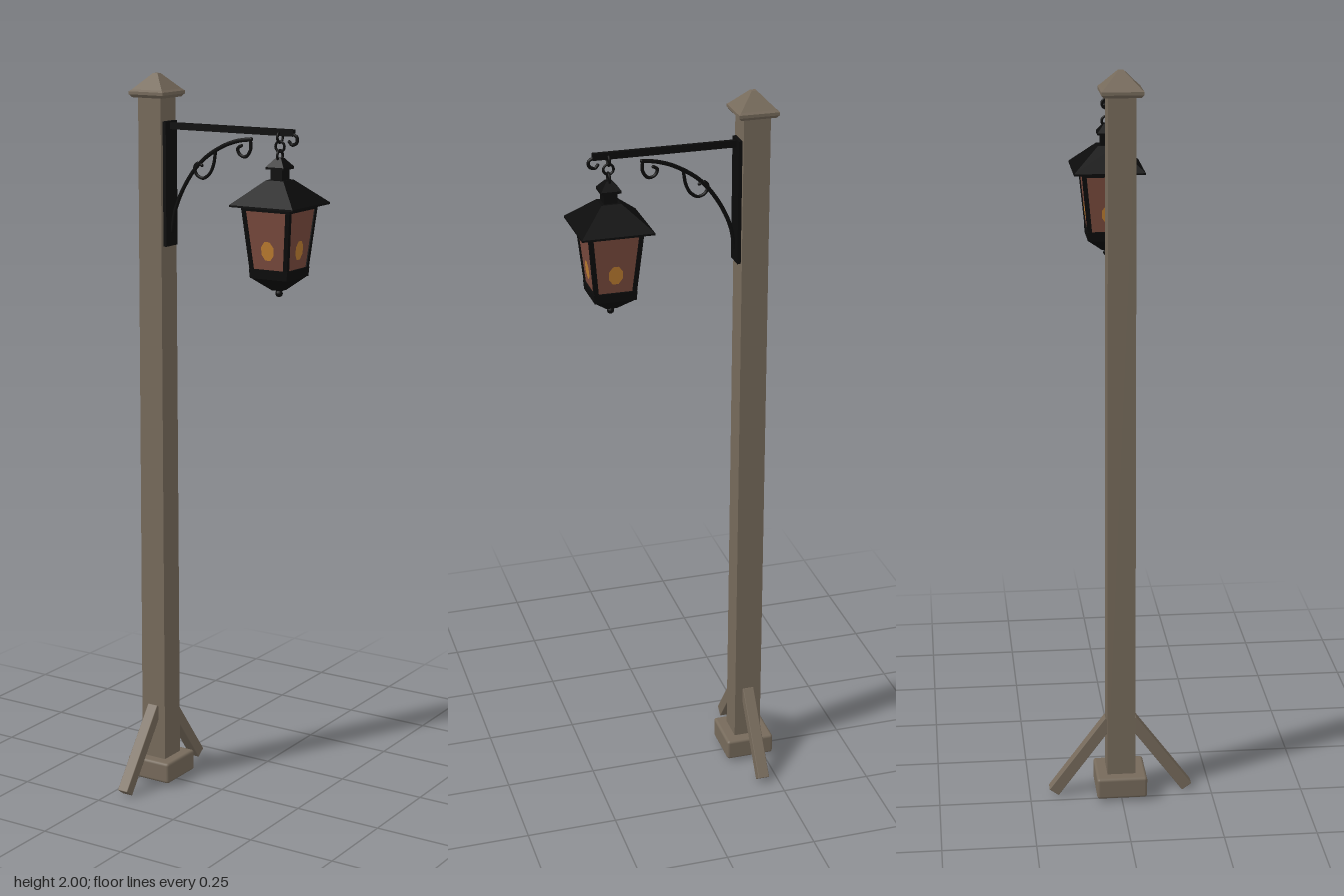
import * as THREE from 'three';
import { RoundedBoxGeometry } from 'three/addons/geometries/RoundedBoxGeometry.js';

const material = (name, color) => Object.assign(new THREE.MeshStandardMaterial({ color }), { name });

export function createModel() {
  const wood = material('weathered wood', 0x766a5b);
  const iron = material('black iron', 0x0b0b0b);
  const glass = material('amber glass', 0x794a3d);
  const glow = material('flame glow', 0xbd7d30);
  const model = new THREE.Group();
  model.name = 'lampPost';
  const POST_X = -0.206, LAMP_X = 0.178;

  const add = (parent, name, geo, mat, x = 0, y = 0, z = 0) => {
    const mesh = new THREE.Mesh(geo, mat);
    mesh.name = name;
    mesh.position.set(x, y, z);
    parent.add(mesh);
    return mesh;
  };
  // Square frustum with crisp edges: half widths at bottom and top, from y0 to y1
  const frustum = (bottom, top, y0, y1) => {
    const geo = new THREE.CylinderGeometry(top * Math.SQRT2, bottom * Math.SQRT2, y1 - y0, 4)
      .rotateY(Math.PI / 4).translate(0, (y0 + y1) / 2, 0).toNonIndexed();
    geo.computeVertexNormals();
    return geo;
  };
  const rod = (parent, name, points, radius) => {
    const curve = new THREE.CatmullRomCurve3(points.map(([x, y]) => new THREE.Vector3(x, y, 0)));
    const mesh = add(parent, name, new THREE.TubeGeometry(curve, 32, radius, 8), iron);
    // Rounded tips close the tube
    for (const p of [points[0], points[points.length - 1]])
      add(parent, name + 'Tip', new THREE.SphereGeometry(radius, 8, 6), iron, p[0], p[1]);
    return mesh;
  };

  // Wooden post, foot block and cap
  const post = new THREE.Group();
  post.name = 'post';
  post.position.x = POST_X;
  model.add(post);
  add(post, 'shaft', frustum(0.0385, 0.036, 0.03, 1.945), wood);
  add(post, 'footBlock', new RoundedBoxGeometry(0.138, 0.06, 0.138, 2, 0.008), wood, 0, 0.041);
  add(post, 'capUnderside', frustum(0.047, 0.054, 1.937, 1.945), wood);
  add(post, 'capSlab', frustum(0.054, 0.054, 1.945, 1.953), wood);
  add(post, 'capBevel', frustum(0.054, 0.048, 1.953, 1.958), wood);
  add(post, 'capPyramid', frustum(0.048, 0.007, 1.958, 2.0), wood);

  // Leaning braces, front and back
  for (const s of [1, -1]) {
    const dy = 0.21, dz = 0.155;
    const brace = add(post, 'brace', new RoundedBoxGeometry(0.032, Math.hypot(dy, dz), 0.032, 1, 0.002),
      wood, 0, 0.116, s * 0.107);
    brace.rotation.x = -s * Math.atan2(dz, dy);
  }

  // Iron bracket with arm, curved stay and scrolls
  const bracket = new THREE.Group();
  bracket.name = 'bracket';
  model.add(bracket);
  add(bracket, 'backPlate', new THREE.BoxGeometry(0.01, 0.335, 0.054), iron, -0.165, 1.708);
  add(bracket, 'arm', new THREE.BoxGeometry(0.38, 0.018, 0.012), iron, 0.03, 1.863);
  rod(bracket, 'stay', [[-0.16, 1.58], [-0.148, 1.64], [-0.115, 1.71], [-0.065, 1.773],
    [0, 1.816], [0.05, 1.834], [0.09, 1.84]], 0.0055);
  rod(bracket, 'lowerScroll', [[-0.02, 1.803], [-0.027, 1.765], [-0.04, 1.741], [-0.06, 1.729],
    [-0.08, 1.738], [-0.086, 1.758], [-0.075, 1.768], [-0.063, 1.763]], 0.0045);
  rod(bracket, 'upperScroll', [[0.088, 1.84], [0.088, 1.812], [0.074, 1.794], [0.056, 1.798],
    [0.049, 1.814], [0.06, 1.822]], 0.0045);
  rod(bracket, 'armCurl', [[0.215, 1.861], [0.229, 1.852], [0.228, 1.838], [0.214, 1.832],
    [0.206, 1.84]], 0.0045);

  // Hanging lantern
  const lantern = new THREE.Group();
  lantern.name = 'lantern';
  lantern.position.x = LAMP_X;
  model.add(lantern);
  [1.85, 1.826, 1.803].forEach((y, i) => {
    const link = add(lantern, 'chainLink', new THREE.TorusGeometry(0.0135, 0.0035, 8, 20), iron, 0, y);
    link.rotation.y = i % 2 ? 0 : Math.PI / 2;
  });
  add(lantern, 'chimneyPeak', frustum(0.027, 0.008, 1.774, 1.797), iron);
  add(lantern, 'chimneyLid', frustum(0.027, 0.027, 1.768, 1.774), iron);
  add(lantern, 'chimney', frustum(0.018, 0.018, 1.735, 1.77), iron);
  add(lantern, 'roof', frustum(0.096, 0.026, 1.678, 1.74), iron);
  add(lantern, 'roofRim', frustum(0.096, 0.096, 1.673, 1.678), iron);
  add(lantern, 'topRail', frustum(0.0725, 0.0735, 1.663, 1.675), iron);
  add(lantern, 'glassBody', frustum(0.053, 0.07, 1.505, 1.67), glass);
  add(lantern, 'bottomRail', frustum(0.056, 0.058, 1.485, 1.51), iron);
  add(lantern, 'bottomTaper', frustum(0.014, 0.054, 1.45, 1.485), iron);
  add(lantern, 'bottomKnob', new THREE.SphereGeometry(0.01, 12, 8), iron, 0, 1.441);

  // Four corner bars and a glowing flame panel on each side
  const low = new THREE.Vector3(0.05, 1.5, 0.05), high = new THREE.Vector3(0.067, 1.67, 0.067);
  const along = high.clone().sub(low);
  for (let i = 0; i < 4; i++) {
    const side = new THREE.Group();
    side.name = 'lanternSide';
    side.rotation.y = i * Math.PI / 2;
    lantern.add(side);
    const bar = add(side, 'cornerBar', new THREE.BoxGeometry(0.012, along.length(), 0.012), iron);
    bar.position.copy(low).add(high).multiplyScalar(0.5);
    bar.quaternion.setFromUnitVectors(new THREE.Vector3(0, 1, 0), along.clone().normalize());
    const flame = new THREE.CircleGeometry(1, 8).rotateZ(Math.PI / 8).scale(0.02, 0.027, 1);
    add(side, 'flamePanel', flame, glow, 0, 1.56, 0.0605).rotation.x = Math.atan2(0.017, 0.165);
  }
  return model;
}
